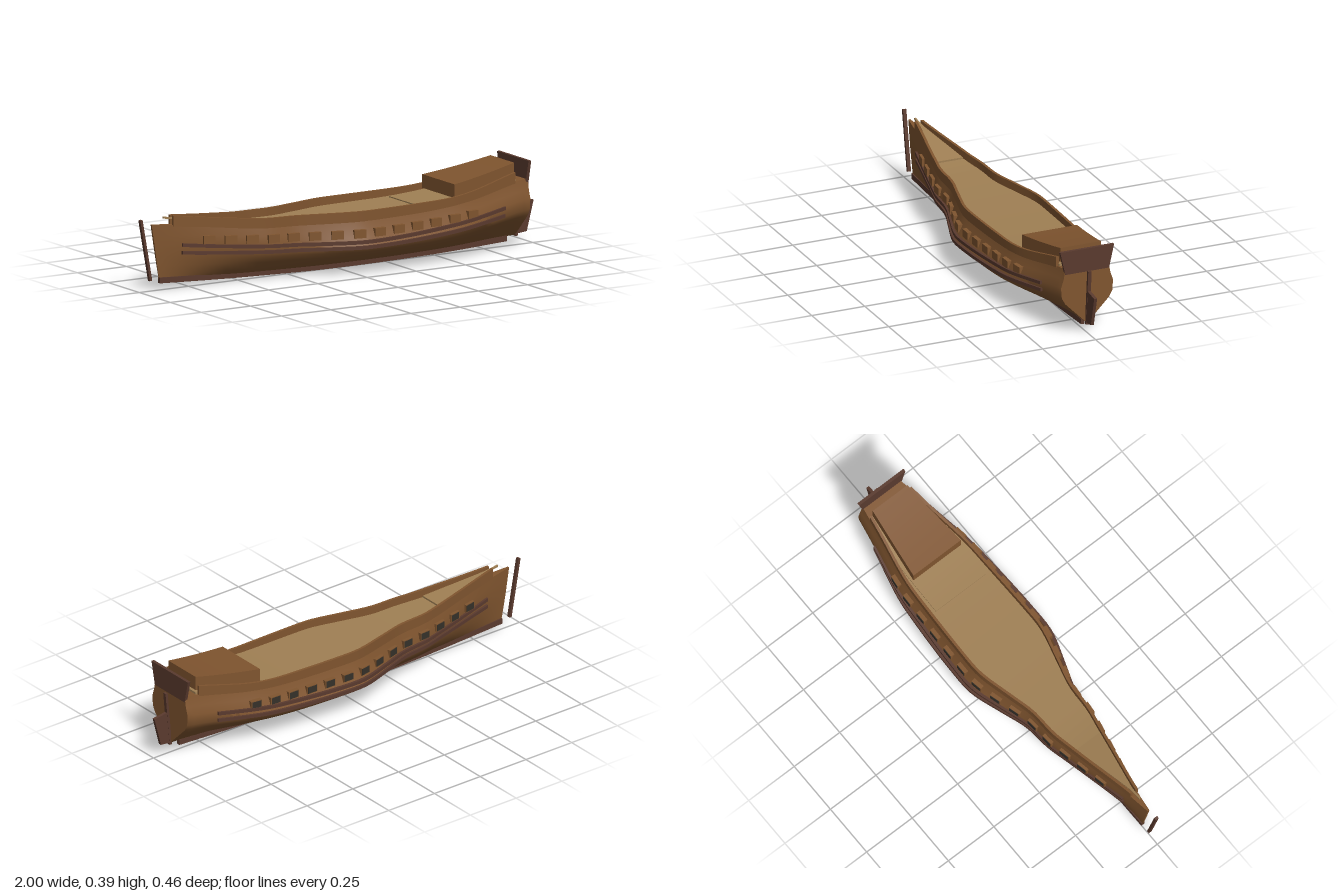
import * as THREE from 'three';
import { toCreasedNormals } from 'three/addons/utils/BufferGeometryUtils.js';

const mat = (name, color) => new THREE.MeshStandardMaterial({ name, color });

// smooth one-dimensional curve through [x, value] points
function curve(pts) {
  const slope = i => {
    const a = pts[Math.max(i - 1, 0)], b = pts[Math.min(i + 1, pts.length - 1)];
    return (b[1] - a[1]) / (b[0] - a[0]);
  };
  return x => {
    let i = 0;
    while (i < pts.length - 2 && x > pts[i + 1][0]) i++;
    const [x0, v0] = pts[i], [x1, v1] = pts[i + 1], d = x1 - x0;
    const t = THREE.MathUtils.clamp((x - x0) / d, 0, 1), t2 = t * t, t3 = t2 * t;
    return (2 * t3 - 3 * t2 + 1) * v0 + (t3 - 2 * t2 + t) * d * slope(i)
      + (3 * t2 - 2 * t3) * v1 + (t3 - t2) * d * slope(i + 1);
  };
}

// hull lines along the length
const breadth = curve([[-0.94, 0.005], [-0.8, 0.028], [-0.5, 0.095], [-0.4, 0.118], [-0.27, 0.13],
  [-0.15, 0.168], [0, 0.215], [0.1, 0.221], [0.45, 0.208], [0.55, 0.197], [0.75, 0.153], [0.91, 0.124]]);
const sheer = curve([[-0.94, 0.29], [-0.7, 0.268], [-0.4, 0.24], [0.3, 0.24], [0.6, 0.262], [0.84, 0.302], [0.91, 0.31]]);
const bottom = curve([[-0.94, 0.04], [-0.5, 0.026], [0, 0.018], [0.5, 0.024], [0.91, 0.045]]);
const railTop = curve([[-0.84, 0.322], [-0.6, 0.295], [-0.4, 0.278], [0.4, 0.278], [0.6, 0.295], [0.84, 0.345]]);

// section shape: height fractions and width fractions at bow, middle and stern
const rowY = [0, 0.11, 0.27, 0.39, 0.5, 0.68, 0.82, 1];
const bowW = [0, 0.35, 0.65, 0.82, 0.93, 1, 0.97, 0.88];
const midW = [0, 0.45, 0.75, 0.945, 1, 0.92, 0.855, 0.8];
const sternW = [0, 0.24, 0.58, 0.83, 0.96, 0.99, 0.89, 0.82];
function rowWidth(x, j) {
  const s = THREE.MathUtils.smoothstep;
  const bow = 1 - s(x, -0.75, 0), stern = s(x, 0.3, 0.91);
  return breadth(x) * (midW[j] * (1 - bow - stern) + bowW[j] * bow + sternW[j] * stern);
}
function halfAt(x, y) {
  const f = THREE.MathUtils.clamp((y - bottom(x)) / (sheer(x) - bottom(x)), 0, 1);
  let j = 0;
  while (j < rowY.length - 2 && f > rowY[j + 1]) j++;
  const t = (f - rowY[j]) / (rowY[j + 1] - rowY[j]);
  return THREE.MathUtils.lerp(rowWidth(x, j), rowWidth(x, j + 1), t);
}

// skin closed sections [x, y, z] along x, with end caps
function loft(x0, x1, steps, section, crease = 0.6) {
  const pos = [], idx = [];
  let n = 0;
  for (let i = 0; i <= steps; i++) {
    const pts = section(x0 + (x1 - x0) * i / steps);
    n = pts.length;
    pts.forEach(p => pos.push(...p));
  }
  for (let i = 0; i < steps; i++) for (let j = 0; j < n; j++) {
    const a = i * n + j, b = i * n + (j + 1) % n, c = a + n, d = b + n;
    idx.push(a, c, b, b, c, d);
  }
  const e = steps * n;
  for (let j = 1; j < n - 1; j++) idx.push(0, j, j + 1, e, e + j + 1, e + j);
  const g = new THREE.BufferGeometry();
  g.setAttribute('position', new THREE.Float32BufferAttribute(pos, 3));
  g.setIndex(idx);
  return toCreasedNormals(g, crease);
}
const rect = (x, y0, y1, za, zb) => {
  const lo = Math.min(za, zb), hi = Math.max(za, zb);
  return [[x, y0, hi], [x, y1, hi], [x, y1, lo], [x, y0, lo]];
};

// flat outline in x and y, given a thickness across z
function slab(points, width) {
  const g = new THREE.ExtrudeGeometry(new THREE.Shape(points.map(p => new THREE.Vector2(...p))),
    { depth: width, bevelEnabled: false });
  return g.translate(0, 0, -width / 2);
}

export function createModel() {
  const group = new THREE.Group();
  group.name = 'shipHull';
  const wood = mat('hull wood', 0x80552f);
  const plank = mat('deck planking', 0xa08054);
  const dark = mat('dark timber', 0x5a3a2e);
  const black = mat('port shadow', 0x35312a);
  const add = (name, geometry, material) => {
    const m = new THREE.Mesh(geometry, material);
    m.name = name;
    group.add(m);
    return m;
  };

  // hull with raked stem and flat transom
  add('hull', loft(-0.94, 0.91, 56, x => {
    const y0 = bottom(x), h = sheer(x) - y0;
    const rake = 0.04 * (1 - THREE.MathUtils.smoothstep(x, -0.94, -0.6));
    const side = rowY.map((f, j) => [x + rake * (1 - f), y0 + f * h, rowWidth(x, j)]);
    return [...side, ...side.slice(1).reverse().map(([a, b, c]) => [a, b, -c])];
  }), wood);

  // decks
  const deckHalf = x => Math.max(rowWidth(x, 7) - 0.008, 0.004);
  add('mainDeck', loft(-0.82, 0.84, 44, x =>
    rect(x, sheer(x) - 0.006, sheer(x) + 0.004, deckHalf(x), -deckHalf(x))), plank);
  add('foreDeck', loft(-0.88, -0.52, 10, x => {
    const y = 0.262 - (x + 0.52) * 0.16, w = Math.max(deckHalf(x) - 0.008, 0.004);
    return rect(x, y - 0.008, y, w, -w);
  }), plank);
  add('aftDeck', loft(0.355, 0.85, 14, x => {
    const w = Math.min(0.138, deckHalf(x));
    return rect(x, sheer(x), sheer(x) + 0.009, w, -w);
  }), plank);

  // raised cabin at the stern
  add('quarterdeck', loft(0.52, 0.845, 8, x => {
    const t = (x - 0.52) / 0.325, w = 0.13 - 0.035 * t;
    return rect(x, 0.27 + 0.05 * t, 0.33 + 0.04 * t + 0.014 * t * t, w, -w);
  }), wood);

  for (const s of [1, -1]) {
    const sideName = s > 0 ? 'front' : 'back';
    // bulwark
    add(sideName + 'Bulwark', loft(-0.84, 0.84, 48, x => {
      const w = rowWidth(x, 7);
      return rect(x, sheer(x) - 0.006, railTop(x), s * (w + 0.002), s * Math.max(w - 0.01, 0.001));
    }), wood);
    // pair of wales following the side
    [[0.147, 0.045, 0.056], [0.125, 0.033, 0.045]].forEach(([mid, fore, aft], k) =>
      add(sideName + 'Wale' + (k + 1), loft(-0.8, 0.765, 48, x => {
        const t = x < 0 ? x / 0.8 : x / 0.765;
        const y = mid + t * t * (x < 0 ? fore : aft), w = halfAt(x, y);
        return rect(x, y - 0.008, y + 0.007, s * (w + 0.009), s * Math.max(w - 0.014, 0));
      }), dark));
    // gun port lids
    for (let i = 0; i < 14; i++) {
      const x = -0.68 + i * 0.097, y = 0.181 + 0.057 * x * x;
      const z = halfAt(x, y);
      const angle = -s * Math.atan2(halfAt(x + 0.03, y) - halfAt(x - 0.03, y), 0.06);
      const lid = add(sideName + 'PortLid', new THREE.BoxGeometry(0.054, 0.036, 0.022), wood);
      lid.position.set(x, y, s * z);
      lid.rotation.y = angle;
      if (s < 0) {
        const plate = add('portOpening', new THREE.BoxGeometry(0.046, 0.03, 0.004), black);
        plate.position.set(x, y, -z - 0.011);
        plate.rotation.y = angle;
      }
    }
  }

  // keel, stem, sternpost and rudder
  const keelY = curve([[-0.9, 0.03], [-0.5, 0.012], [0, 0], [0.5, 0.006], [0.865, 0.022]]);
  add('keel', loft(-0.9, 0.865, 30, x => rect(x, keelY(x), keelY(x) + 0.025, 0.008, -0.008)), dark);
  add('stem', slab([[-0.951, 0.045], [-0.939, 0.047], [-0.988, 0.317], [-1, 0.315]], 0.016), dark);
  add('sternpost', slab([[0.906, 0.04], [0.918, 0.04], [0.941, 0.295], [0.929, 0.295]], 0.016), dark);
  add('rudder', slab([[0.917, 0.05], [0.965, 0.055], [1, 0.19], [0.931, 0.2]], 0.014), dark);

  // flared board across the stern
  const board = slab([[-0.103, 0.285], [0.103, 0.285], [0.127, 0.391], [-0.127, 0.391]], 0.014);
  add('taffrail', board.rotateY(Math.PI / 2).translate(0.905, 0, 0), dark);

  return group;
}
